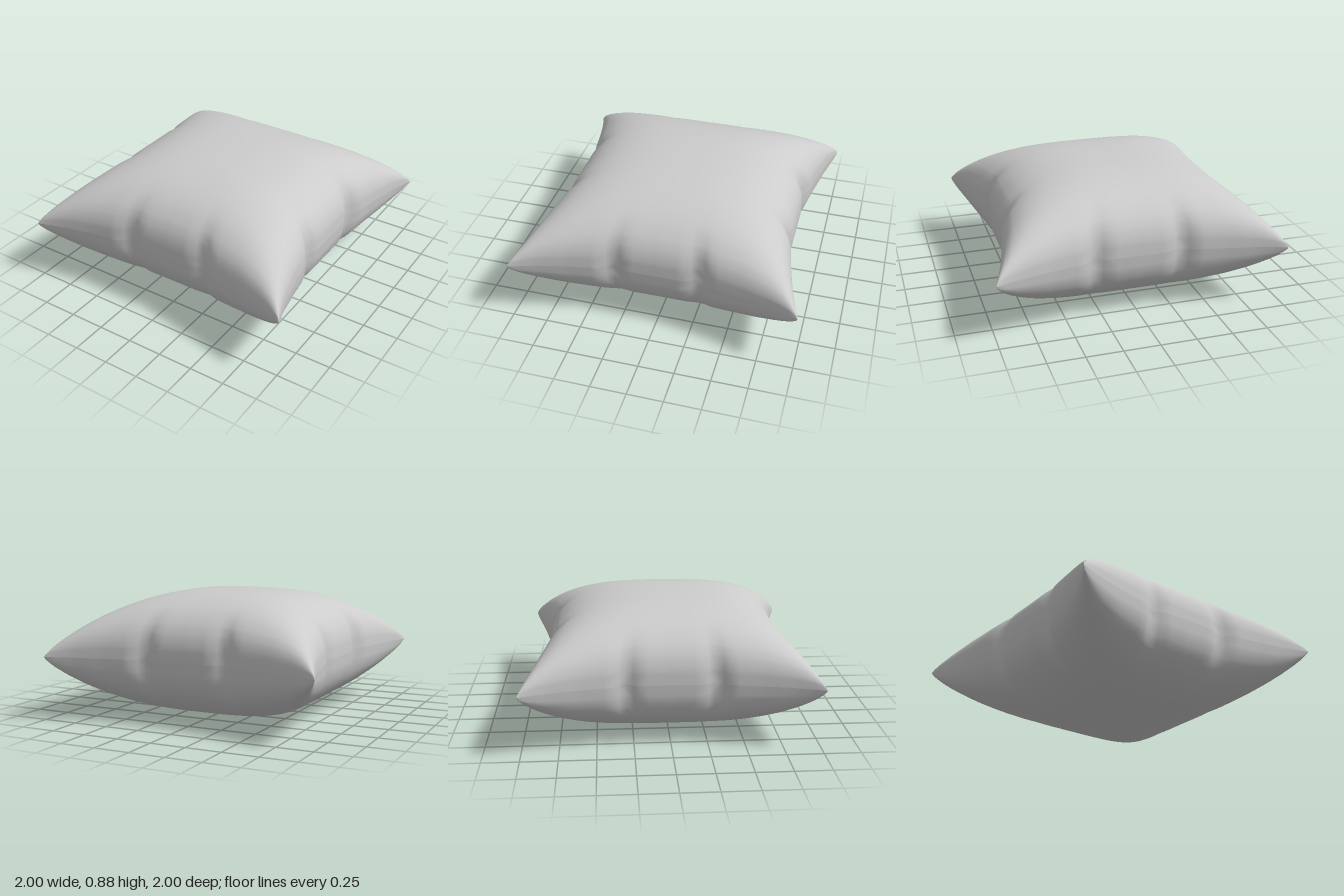
import * as THREE from 'three';

const HALF = 0.4425; // half thickness

// Piecewise linear lookup
function lerpTable(table, v) {
  for (let i = 1; i < table.length; i++) {
    const [x0, y0] = table[i - 1], [x1, y1] = table[i];
    if (v <= x1) return y0 + (y1 - y0) * (v - x0) / (x1 - x0);
  }
  return table[table.length - 1][1];
}

// Seam outline of half a side: distance from the middle -> reach outwards
const outline = [[0, 0.835], [0.2, 0.835], [0.3, 0.795], [0.4, 0.855], [0.6, 0.89], [0.8, 0.935], [0.9, 0.965], [1, 1]];
const reach = (t) => 0.83 + 0.17 * Math.pow(Math.abs(t), 2.2);

// The pinches in the seam fade out towards the middle of the cloth
function spread(s, t) {
  const smooth = reach(t);
  const pinch = lerpTable(outline, Math.abs(t)) - smooth;
  return s * (smooth + pinch * Math.pow(Math.abs(s), 7));
}

const puff = (s) => Math.pow(Math.max(0, 1 - Math.pow(Math.abs(s), 2.8)), 0.4);

// Grid lines, denser near the seam
const half = [];
for (let i = 1; i <= 18; i++) half.push(i * 0.05);
half.push(0.925, 0.95, 0.965, 0.98, 0.99, 0.996, 1);
const lines = [...half.map((v) => -v).reverse(), 0, ...half];

// One cushion face; side = 1 for the top, -1 for the bottom
function clothGeometry(side) {
  const n = lines.length, pos = [], index = [];
  for (const t of lines) {
    for (const s of lines) {
      pos.push(spread(s, t), HALF + side * HALF * puff(s) * puff(t), spread(t, s));
    }
  }
  for (let j = 0; j < n - 1; j++) {
    for (let i = 0; i < n - 1; i++) {
      const a = j * n + i, b = a + 1, c = a + n, d = c + 1;
      // diagonals run towards the four corners
      const out = lines[i] * lines[j + 1] + lines[i + 1] * lines[j] >= 0;
      const tris = out ? [a, c, d, a, d, b] : [a, c, b, b, c, d];
      if (side < 0) tris.reverse();
      index.push(...tris);
    }
  }
  const g = new THREE.BufferGeometry();
  g.setAttribute('position', new THREE.Float32BufferAttribute(pos, 3));
  g.setIndex(index);
  g.computeVertexNormals();
  return g;
}

export function createModel() {
  const group = new THREE.Group();
  group.name = 'pillow';
  const material = new THREE.MeshStandardMaterial({ color: 0xcccccc });
  for (const [name, side] of [['topCloth', 1], ['bottomCloth', -1]]) {
    const mesh = new THREE.Mesh(clothGeometry(side), material);
    mesh.name = name;
    group.add(mesh);
  }
  return group;
}
